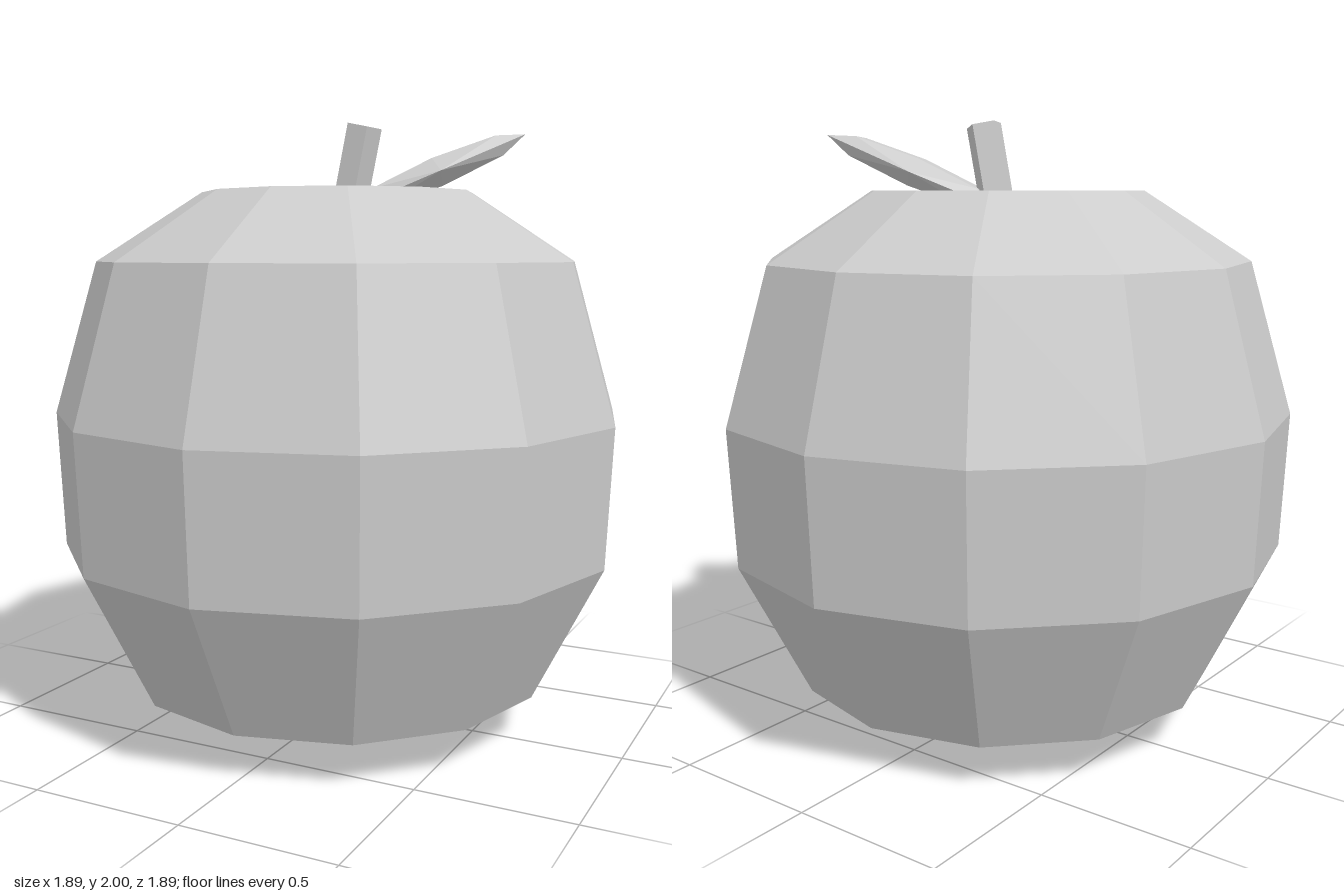
import * as THREE from 'three';

export function createModel() {
  const model = new THREE.Group();
  const material = new THREE.MeshStandardMaterial({ color: 0xcccccc, flatShading: true });

  const addPart = (name, geometry) => {
    const mesh = new THREE.Mesh(geometry, material);
    mesh.name = name;
    model.add(mesh);
    return mesh;
  };

  // Fruit body: twelve-sided lathe with a dimple below and a hollow on top
  const profile = [
    [0, 0.15], [0.3, 0], [0.7, 0.15], [0.925, 0.6], [0.945, 1.05],
    [0.8, 1.55], [0.45, 1.775], [0.15, 1.62], [0, 1.52],
  ].map(([r, y]) => new THREE.Vector2(r, y));
  addPart('fruitBody', new THREE.LatheGeometry(profile, 12));

  // Stem: five-sided rod leaning to the left
  const length = 0.46;
  const lean = 0.21;
  const stemGeometry = new THREE.CylinderGeometry(0.06, 0.06, length, 5);
  stemGeometry.rotateY(Math.PI).translate(0, -length / 2, 0);
  const stem = addPart('stem', stemGeometry);
  stem.position.set(0.093, 1.987, 0);
  stem.rotation.z = -lean;

  // Leaf: flattened faceted ball, its poles at the two sides
  const leafGeometry = new THREE.SphereGeometry(1, 8, 3);
  leafGeometry.scale(0.355, 0.15, 0.055).rotateX(Math.PI / 2);
  const leaf = addPart('leaf', leafGeometry);
  leaf.position.set(0.3, 1.835, -0.1);
  leaf.rotation.set(0, 0.527, 0.4, 'YZX');

  return model;
}
